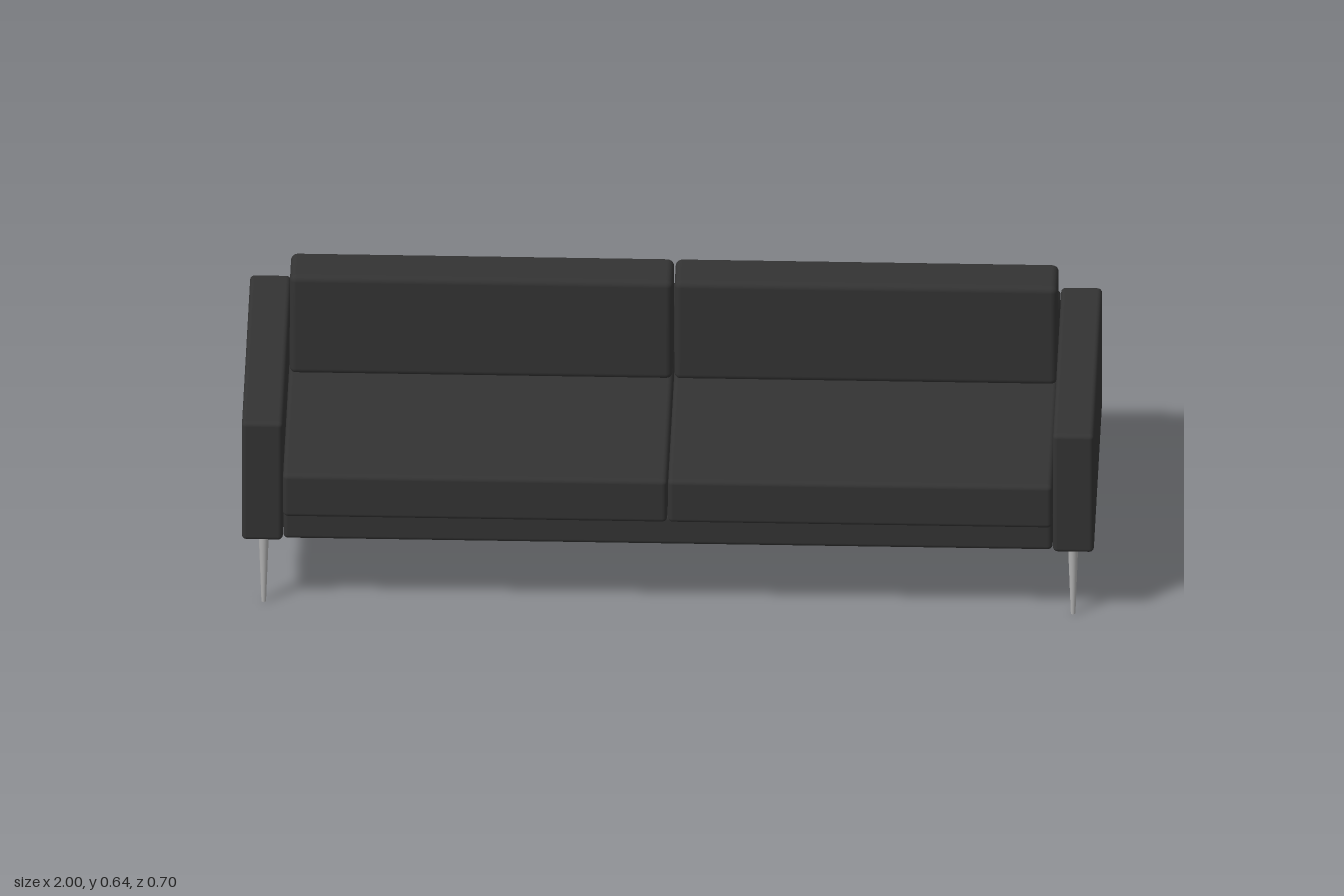
import * as THREE from 'three';
import { RoundedBoxGeometry } from 'three/addons/geometries/RoundedBoxGeometry.js';

export function createModel() {
  const sofa = new THREE.Group();
  sofa.name = 'sofa';

  const leather = new THREE.MeshStandardMaterial({ color: 0x333333 });
  leather.name = 'charcoal leather';
  const metal = new THREE.MeshStandardMaterial({ color: 0xb0b0b0 });
  metal.name = 'brushed metal';

  // Rounded block given by its extents on each axis
  function block(name, [x0, x1], [y0, y1], [z0, z1], radius) {
    const geometry = new RoundedBoxGeometry(x1 - x0, y1 - y0, z1 - z0, 4, radius);
    geometry.translate((x0 + x1) / 2, (y0 + y1) / 2, (z0 + z1) / 2);
    const mesh = new THREE.Mesh(geometry, leather);
    mesh.name = name;
    sofa.add(mesh);
    return mesh;
  }

  const inner = 0.903; // inside face of the arms
  const sides = [[1, 'left'], [-1, 'right']];
  const span = (s, a, b) => (s > 0 ? [a, b] : [-b, -a]);

  // Base frame, open in the middle
  block('frontRail', [-inner, inner], [0.198, 0.278], [0.24, 0.32], 0.012);
  block('backRail', [-inner, inner], [0.198, 0.278], [-0.348, -0.27], 0.012);

  // Backrest panel above the rear rail
  block('backPanel', [-inner, inner], [0.272, 0.518], [-0.35, -0.256], 0.016);

  for (const [s, side] of sides) {
    block(side + 'Arm', span(s, 0.904, 1), [0.196, 0.519], [-0.35, 0.325], 0.011);
    block(side + 'Rail', span(s, 0.84, 0.905), [0.2, 0.276], [-0.3, 0.28], 0.008);
    block(side + 'SeatCushion', span(s, 0.001, inner), [0.276, 0.393], [-0.257, 0.35], 0.012);

    // Back cushion: the front face leans backwards towards the top
    const bottom = 0.388, top = 0.64, back = -0.254, front = -0.11;
    const cushion = block(side + 'BackCushion', span(s, 0.002, 0.901), [bottom, top], [back, front], 0.016);
    const p = cushion.geometry.attributes.position;
    for (let i = 0; i < p.count; i++) {
      const rise = (p.getY(i) - bottom) / (top - bottom);
      const depth = (p.getZ(i) - back) / (front - back);
      p.setZ(i, p.getZ(i) - 0.031 * rise * depth);
    }

    // Tapered legs under each arm
    for (const [z, end] of [[0.273, 'Front'], [-0.283, 'Back']]) {
      const leg = new THREE.Mesh(new THREE.CylinderGeometry(0.0125, 0.0055, 0.2, 24), metal);
      leg.name = side + end + 'Leg';
      leg.position.set(s * 0.95, 0.1, z);
      sofa.add(leg);
    }
  }
  return sofa;
}
